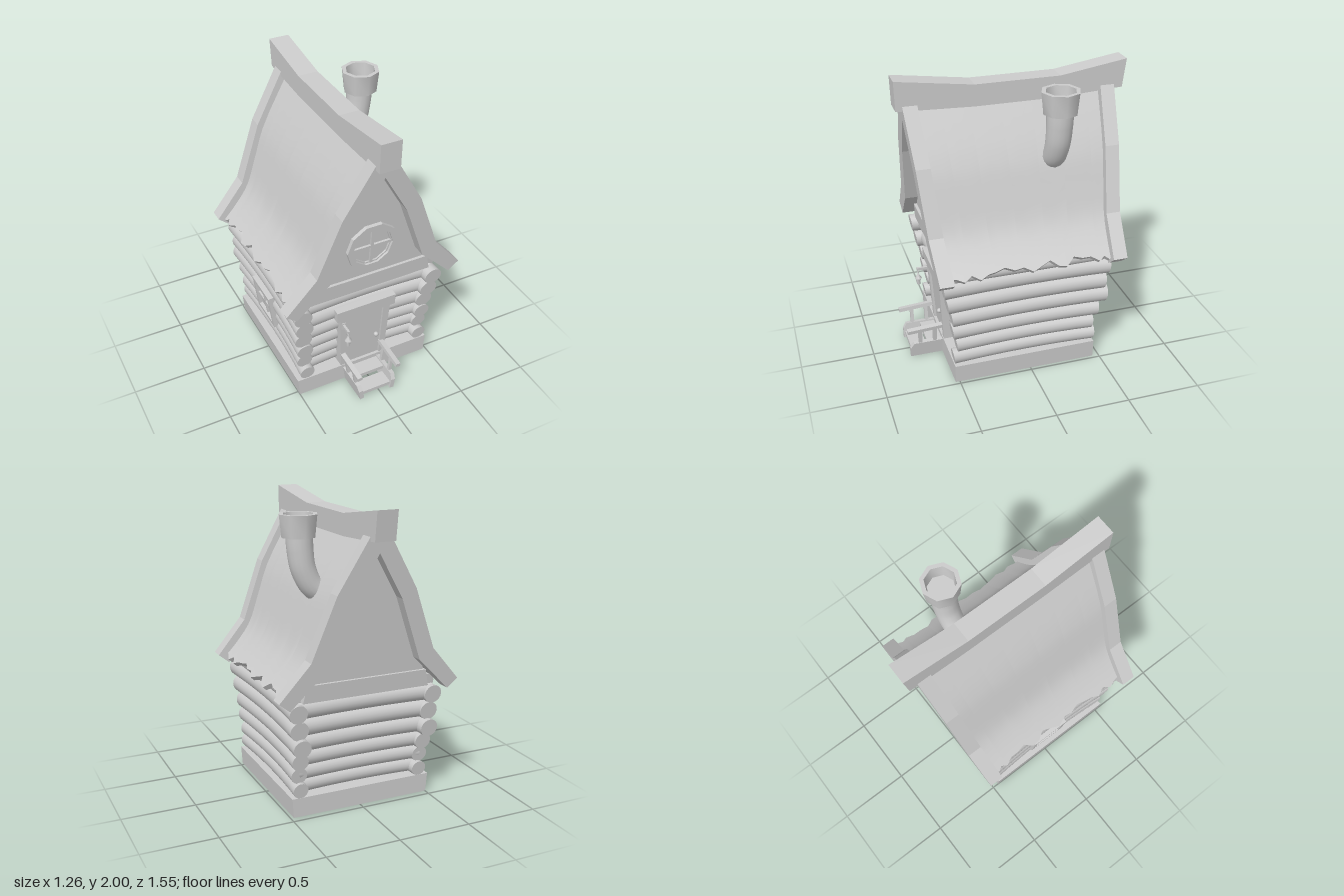
import * as THREE from 'three';
import { toCreasedNormals } from 'three/addons/utils/BufferGeometryUtils.js';

const grey = new THREE.MeshStandardMaterial({ color: 0xcccccc });
const V = (x, y, z) => new THREE.Vector3(x, y, z);

function add(parent, name, geo) {
  const m = new THREE.Mesh(geo, grey);
  m.name = name;
  parent.add(m);
  return m;
}
function group(parent, name) {
  const g = new THREE.Group();
  g.name = name;
  parent.add(g);
  return g;
}
function box(parent, name, x0, x1, y0, y1, z0, z1) {
  const m = add(parent, name, new THREE.BoxGeometry(x1 - x0, y1 - y0, z1 - z0));
  m.position.set((x0 + x1) / 2, (y0 + y1) / 2, (z0 + z1) / 2);
  return m;
}
const poly = (pts) => new THREE.Shape(pts.map(([x, y]) => new THREE.Vector2(x, y)));
const extrude = (shape, depth) => new THREE.ExtrudeGeometry(shape, { depth, bevelEnabled: false });
const lathe = (pts) => toCreasedNormals(
  new THREE.LatheGeometry(pts.map(([x, y]) => new THREE.Vector2(x, y)), 8), 0.9);
// Walls and roof lean outward with height
function lean(geo, z, k) {
  const p = geo.attributes.position;
  for (let i = 0; i < p.count; i++) p.setZ(i, p.getZ(i) + z + k * (p.getY(i) - 0.8));
  geo.computeVertexNormals();
  return geo;
}
const frontLean = 0.07, backLean = -0.09;

// Log along z, bowed sideways, with ends that lean outward
function logGeometry(r, length, bow) {
  const geo = new THREE.CylinderGeometry(r, r, length, 20, 8).rotateX(Math.PI / 2);
  const p = geo.attributes.position;
  for (let i = 0; i < p.count; i++) {
    const u = p.getZ(i) / (length / 2);
    p.setX(i, p.getX(i) + bow * (1 - u * u));
    p.setZ(i, p.getZ(i) + u * p.getY(i) * 0.13);
  }
  return toCreasedNormals(geo, 0.8);
}

function logWalls(root) {
  const walls = group(root, 'logWalls');
  const y = [0.18, 0.28, 0.385, 0.495, 0.61, 0.73];
  const r = [0.052, 0.055, 0.057, 0.061, 0.063, 0.062];
  const zFront = [0.53, 0.51, 0.535, 0.54, 0.57, 0.595];
  const zBack = [-0.46, -0.445, -0.48, -0.535, -0.515, -0.535];
  const xLeft = [0.43, 0.435, 0.44, 0.447, 0.458, 0.472];
  const xRight = [-0.44, -0.45, -0.455, -0.468, -0.472, -0.49];
  const bow = 0.02;
  y.forEach((h, i) => {
    for (const [x, s] of [[xLeft[i], -1], [xRight[i], 1]])
      add(walls, 'sideLog', logGeometry(r[i], zFront[i] - zBack[i], s * bow))
        .position.set(x, h, (zFront[i] + zBack[i]) / 2);
    for (const [z, s] of [[0.432 + i * 0.012, 1], [-0.372 - i * 0.019, -1]]) {
      const m = add(walls, 'crossLog', logGeometry(r[i] + 0.003, xLeft[i] - xRight[i], s * bow));
      m.position.set((xLeft[i] + xRight[i]) / 2, h + 0.012, z);
      m.rotation.y = Math.PI / 2;
    }
  });
  for (const s of [1, -1])
    add(walls, 'wallPlate', logGeometry(0.05, 1.03, 0)).position.set(s * 0.46, 0.815, 0.015);
  box(walls, 'innerWall', -0.41, 0.4, 0.1, 0.82, -0.35, 0.41);
}

function roof(root) {
  const g = group(root, 'roof');
  const outer = [[0, 1.93], [0.055, 1.86], [0.27, 1.49], [0.425, 1.08], [0.628, 0.845]];
  const inner = [[0.555, 0.785], [0.33, 1.01], [0.175, 1.43], [0, 1.73]];
  // Planks follow a smooth curve from eave to ridge
  const curve = new THREE.CatmullRomCurve3(
    [V(0.583, 0.83, 0), V(0.49, 0.925, 0), V(0.39, 1.055, 0), V(0.313, 1.25, 0), V(0.232, 1.465, 0), V(0.01, 1.84, 0)]);
  const seams = [0.57, 0.42, 0.26, 0.08, -0.1, -0.26, -0.43, -0.53];
  const jag = [4, 3, 0, 4, 0, 3, 4, 6, 3, 4, 0, 3, 6, 1, 0, 6, 4, 4, 0, 3, 0, 3];
  for (const side of [1, -1]) {
    for (let k = 0; k < 7; k++) {
      const geo = new THREE.BoxGeometry(1, 1, 1, 1, 14, 3);
      const p = geo.attributes.position;
      for (let i = 0; i < p.count; i++) {
        const s = 0.5 - p.getZ(i);
        const t0 = jag[k * 3 + Math.round(s * 3)] * 0.014;
        const t = t0 + (1 - t0) * (p.getY(i) + 0.5);
        const c = curve.getPoint(t), d = curve.getTangent(t);
        const off = (side * p.getX(i) - 0.5) * 0.035;
        const y = c.y - d.x * off;
        const z0 = THREE.MathUtils.lerp(seams[k], seams[k + 1], s);
        const f = (z0 + 0.53) / 1.1;
        const k2 = f * frontLean + (1 - f) * backLean;
        p.setXYZ(i, side * (c.x + d.y * off), y, z0 + k2 * (y - 0.8));
      }
      add(g, 'roofPlank', toCreasedNormals(geo, 0.5));
    }
    // Barge boards on both gables
    const shape = poly([...outer, ...inner].map(([x, y]) => [side * x, y]));
    add(g, 'bargeBoard', lean(extrude(shape, 0.095), 0.545, frontLean));
    add(g, 'bargeBoard', lean(extrude(shape, 0.095), -0.6, backLean));
  }
  // Sagging ridge beam
  const ridge = extrude(poly([[0.76, 2], [0.25, 1.93], [-0.32, 1.93], [-0.775, 2], [-0.75, 1.81],
    [-0.32, 1.785], [0.25, 1.785], [0.755, 1.805]]), 0.14);
  ridge.rotateY(-Math.PI / 2).translate(0.07, 0, 0);
  add(g, 'ridgeBeam', ridge);

  // Gable panels with a cross beam at their foot
  const gable = poly([[-0.42, 0.82], [0.42, 0.82], [0.4, 0.96], [0.35, 1.06], [0.19, 1.46], [0, 1.78],
    [-0.19, 1.46], [-0.35, 1.06], [-0.4, 0.96]]);
  const beam = poly([[-0.445, 0.8], [0.445, 0.8], [0.42, 0.915], [-0.42, 0.915]]);
  add(g, 'frontGable', lean(extrude(gable, 0.05), 0.5, frontLean));
  add(g, 'backGable', lean(extrude(gable, 0.05), -0.52, backLean));
  add(g, 'frontGableBeam', lean(extrude(beam, 0.13), 0.44, frontLean));
  add(g, 'backGableBeam', lean(extrude(beam, 0.13), -0.54, backLean));
}

function roundWindow(root) {
  const g = group(root, 'roundWindow');
  const ring = (name, r0, r1, depth, z) => {
    const pts = (r) => Array.from({ length: 10 }, (_, i) =>
      new THREE.Vector2(r * Math.cos(i * Math.PI / 5), r * Math.sin(i * Math.PI / 5)));
    const s = new THREE.Shape(pts(r1));
    s.holes.push(new THREE.Path(pts(r0)));
    add(g, name, extrude(s, depth)).position.z = z;
  };
  ring('windowFrame', 0.142, 0.18, 0.04, -0.03);
  ring('windowInnerFrame', 0.132, 0.145, 0.025, -0.03);
  box(g, 'windowBar', -0.01, 0.01, -0.14, 0.14, -0.03, 0);
  box(g, 'windowBar', -0.14, 0.14, -0.01, 0.01, -0.03, 0);
  g.position.set(-0.005, 1.15, 0.59);
  g.rotation.x = Math.atan(frontLean);
}

function sideWindow(root) {
  const g = group(root, 'sideWindow');
  const w = 0.125, h = 0.12, b = 0.03;
  for (const s of [-1, 1]) {
    box(g, 'windowPost', s * w - b / 2, s * w + b / 2, -h, h, -0.03, 0.03);
    box(g, 'windowRail', -w - b / 2, w + b / 2, s * h - b / 2, s * h + b / 2, -0.03, 0.03);
  }
  box(g, 'windowBar', -0.008, 0.008, -h, h, -0.02, 0.018);
  box(g, 'windowBar', -w, w, -0.008, 0.008, -0.02, 0.018);
  box(g, 'windowPane', -w, w, -h, h, -0.03, 0.005);
  g.position.set(-0.492, 0.43, -0.005);
  g.rotation.set(0.13, -Math.PI / 2, 0, 'YXZ');
}

function door(root) {
  const g = group(root, 'door');
  const slab = (name, pts, depth, z) => add(g, name, lean(extrude(poly(pts), depth), z, 0.06));
  slab('doorPanel', [[-0.15, 0.12], [0.115, 0.12], [0.125, 0.58], [-0.16, 0.58]], 0.1, 0.45);
  slab('doorJamb', [[-0.185, 0.12], [-0.14, 0.12], [-0.155, 0.58], [-0.205, 0.58]], 0.12, 0.445);
  slab('doorJamb', [[0.11, 0.12], [0.15, 0.12], [0.17, 0.58], [0.12, 0.58]], 0.12, 0.445);
  slab('doorLintel', [[-0.235, 0.577], [0.197, 0.577], [0.2, 0.66], [-0.237, 0.66]], 0.12, 0.46);
  add(g, 'doorKnob', new THREE.SphereGeometry(0.017, 14, 10)).position.set(0.08, 0.32, 0.535);
}

function lantern(root) {
  const g = group(root, 'lantern');
  box(g, 'lanternPlate', -0.195, -0.168, 0.49, 0.54, 0.53, 0.555);
  box(g, 'lanternArm', -0.19, -0.174, 0.512, 0.53, 0.54, 0.63);
  add(g, 'lanternRing', new THREE.TorusGeometry(0.009, 0.003, 6, 12)).position.set(-0.182, 0.503, 0.62);
  add(g, 'lanternBody', lathe([[0, 0.4], [0.013, 0.4], [0.013, 0.41], [0.019, 0.445], [0.025, 0.447],
    [0.008, 0.473], [0.004, 0.496], [0, 0.496]])).position.set(-0.182, 0, 0.62);
}

function steps(root) {
  const g = group(root, 'steps');
  g.position.x = -0.025;
  for (const s of [-1, 1]) {
    const side = group(g, 'stairSide');
    side.position.x = s * 0.115;
    side.rotation.z = -s * 0.14;
    const stringer = extrude(poly([[0.53, 0], [0.755, 0], [0.755, 0.07], [0.73, 0.11], [0.53, 0.11]]), 0.03);
    stringer.rotateY(-Math.PI / 2).translate(0.015, 0, 0);
    add(side, 'stringer', stringer);
    for (const z of [0.685, 0.582]) box(side, 'railPost', -0.011, 0.011, 0.1, 0.22, z - 0.012, z + 0.012);
    box(side, 'handRail', -0.017, 0.017, 0.212, 0.238, 0.52, 0.775).rotation.x = 0.06;
  }
  box(g, 'upperTread', -0.12, 0.12, 0.075, 0.1, 0.53, 0.635);
  box(g, 'lowerTread', -0.115, 0.115, 0.025, 0.05, 0.635, 0.745);
}

function chimney(root) {
  const g = group(root, 'chimney');
  const path = new THREE.CatmullRomCurve3(
    [V(0.15, 1.41, 0), V(0.24, 1.462, 0), V(0.3, 1.575, 0), V(0.322, 1.7, 0), V(0.328, 1.82, 0)]);
  // Pipe widens towards the top
  const pipe = new THREE.TubeGeometry(path, 24, 1, 16);
  const p = pipe.attributes.position;
  for (let i = 0; i < p.count; i++) {
    const t = Math.floor(i / 17) / 24, c = path.getPointAt(t);
    const v = V(p.getX(i), p.getY(i), p.getZ(i)).sub(c).multiplyScalar(0.074 + 0.014 * t).add(c);
    p.setXYZ(i, v.x, v.y, v.z);
  }
  add(g, 'chimneyPipe', pipe);
  add(g, 'chimneyCap', lathe([[0, 1.785], [0.113, 1.785], [0.128, 1.93], [0.1, 1.93], [0.09, 1.83], [0, 1.83]]))
    .position.x = 0.333;
  g.position.z = -0.225;
}

export function createModel() {
  const root = new THREE.Group();
  root.name = 'cabin';
  const base = extrude(poly([[-0.5, 0], [0.48, 0], [0.488, 0.13], [-0.512, 0.13]]), 0.985);
  add(root, 'foundation', base).position.z = -0.455;
  for (const part of [logWalls, roof, roundWindow, sideWindow, door, lantern, steps, chimney]) part(root);
  return root;
}
